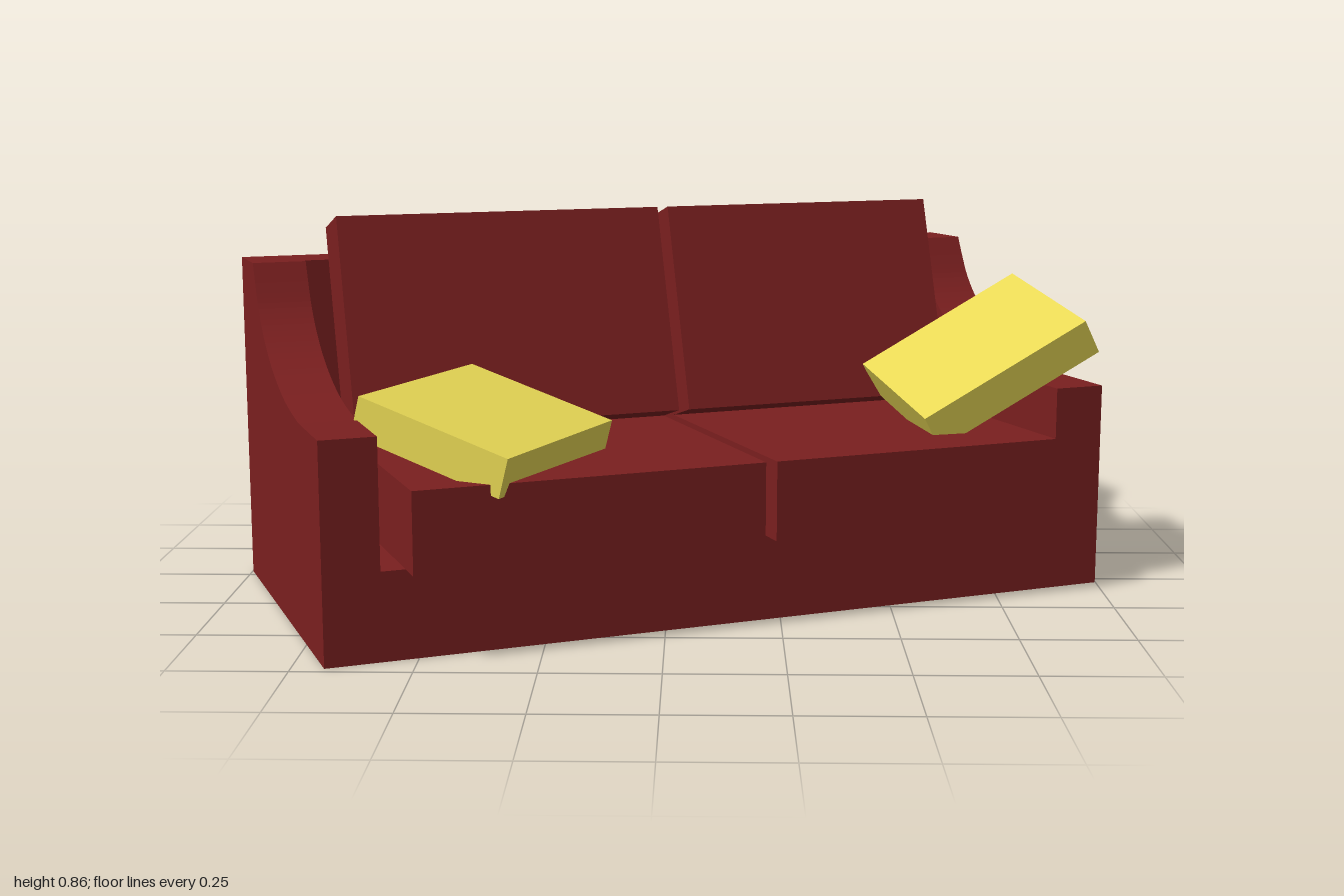
import * as THREE from 'three';

const red = new THREE.MeshStandardMaterial({ color: 0x7a1f1f });
const yellow = new THREE.MeshStandardMaterial({ color: 0xe8d855 });

const W = 0.91, D = 0.4125;   // half width and half depth of the frame
const ARM = 0.12, BASE = 0.19, BACK_TOP = 0.755, BACK_FRONT = -0.28;

function add(parent, name, geometry, material) {
  const mesh = new THREE.Mesh(geometry, material);
  mesh.name = name;
  parent.add(mesh);
  return mesh;
}

// Box given by its limits on each axis
function block(x0, x1, y0, y1, z0, z1) {
  return new THREE.BoxGeometry(x1 - x0, y1 - y0, z1 - z0)
    .translate((x0 + x1) / 2, (y0 + y1) / 2, (z0 + z1) / 2);
}

// Arm side profile: low at the front, sweeping up to the back
function armGeometry() {
  const s = new THREE.Shape();
  s.moveTo(-D, 0);
  s.lineTo(D, 0);
  s.lineTo(D, 0.468);
  s.lineTo(0.22, 0.47);
  s.splineThru([[0.1, 0.487], [0, 0.515], [-0.09, 0.555], [-0.16, 0.603],
    [-0.21, 0.655], [-0.24, 0.705], [-0.265, BACK_TOP]].map(([z, y]) => new THREE.Vector2(z, y)));
  s.lineTo(-D, BACK_TOP);
  s.closePath();
  return new THREE.ExtrudeGeometry(s, { depth: ARM, bevelEnabled: false, curveSegments: 4 })
    .rotateY(-Math.PI / 2);
}

// Flat pillow: back corner of its top face and the two edges leaving it
function pillow(parent, name, corner, edgeA, edgeB) {
  const T = 0.088;
  const p = new THREE.Vector3(...corner);
  const a = new THREE.Vector3(...edgeA), b = new THREE.Vector3(...edgeB);
  const la = a.length(), lb = b.length();
  const x = a.clone().normalize();
  const y = b.clone().cross(a).normalize();
  const z = x.clone().cross(y);
  const mesh = add(parent, name, new THREE.BoxGeometry(la, T, lb), yellow);
  mesh.quaternion.setFromRotationMatrix(new THREE.Matrix4().makeBasis(x, y, z));
  mesh.position.copy(p).addScaledVector(x, la / 2).addScaledVector(z, lb / 2).addScaledVector(y, -T / 2);
}

export function createModel() {
  const model = new THREE.Group();
  model.name = 'sofaWithPillows';

  // The sofa stands turned on the floor
  const sofa = new THREE.Group();
  sofa.name = 'sofa';
  sofa.rotation.y = THREE.MathUtils.degToRad(22.6);
  model.add(sofa);

  // Frame
  const inner = W - ARM;
  add(sofa, 'base', block(-inner, inner, 0, BASE, -D, D), red);
  add(sofa, 'backPanel', block(-inner, inner, BASE, BACK_TOP, -D, BACK_FRONT), red);
  add(sofa, 'leftArm', armGeometry(), red).position.x = W;
  add(sofa, 'rightArm', armGeometry(), red).position.x = -inner;

  // Seat and reclined back cushions, one pair per side
  const lean = THREE.MathUtils.degToRad(16.7);
  for (const [side, x0, x1] of [['right', -0.738, 0.034], ['left', 0.06, 0.75]]) {
    add(sofa, side + 'SeatCushion', block(x0, x1, BASE, 0.365, BACK_FRONT, 0.475), red);
    const back = add(sofa, side + 'BackCushion', block(x0, x1, 0, 0.489, -0.122, 0), red);
    back.position.set(0, 0.395, -0.025);
    back.rotation.x = -lean;
  }

  // Loose pillows
  pillow(model, 'rightPillow', [-0.635, 0.522, 0.523], [0.19, 0.008, -0.39], [0.325, -0.1, 0.155]);
  pillow(model, 'leftPillow', [0.468, 0.475, -0.24], [0.37, 0.215, -0.075], [0.106, -0.075, 0.365]);

  return model;
}
